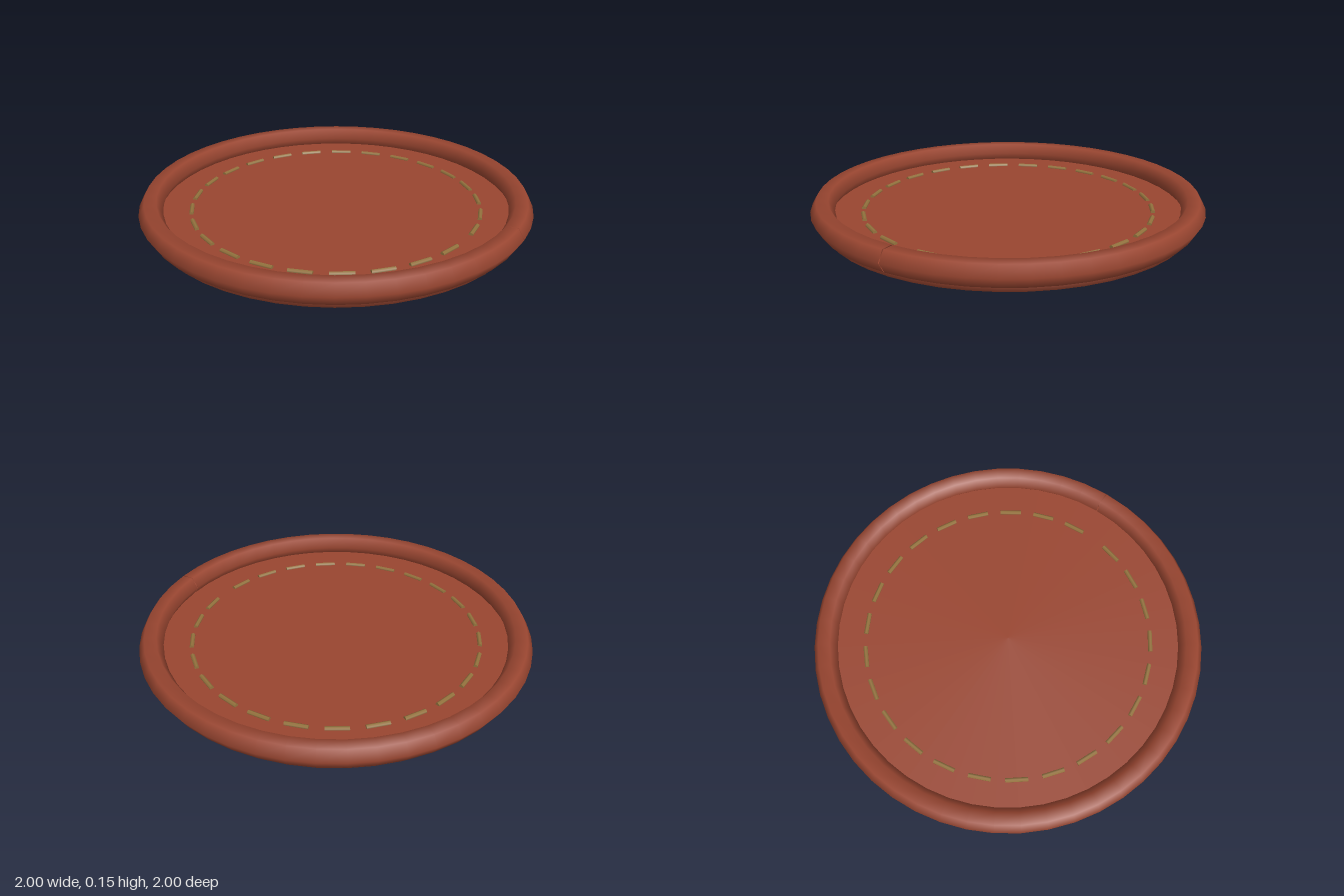
import * as THREE from 'three';

export function createModel() {
  const group = new THREE.Group();
  const leather = new THREE.MeshStandardMaterial({ color: 0x984530, side: THREE.DoubleSide });
  leather.name = 'redBrownLeather';
  const thread = new THREE.MeshStandardMaterial({ color: 0x94733e });
  thread.name = 'tanThread';

  const add = (name, geometry, material, parent = group) => {
    const mesh = new THREE.Mesh(geometry, material);
    mesh.name = name;
    parent.add(mesh);
    return mesh;
  };

  // Flat disc with a softened lower edge; its upper edge hides under the rim
  const profile = [
    [0, 0], [0.85, 0], [0.9, 0.002], [0.94, 0.016], [0.94, 0.056], [0.93, 0.06], [0.92, 0.06], [0, 0.06],
  ].map(([x, y]) => new THREE.Vector2(x, y));
  add('base', new THREE.LatheGeometry(profile, 48), leather);

  // Rolled six-sided rim with a hairline seam on the +x side
  const rim = new THREE.TorusGeometry(0.94, 0.06, 6, 48, Math.PI * 2 - 0.005);
  rim.rotateX(Math.PI / 2);
  add('rim', rim, leather).position.y = 0.1;

  // Ring of stitches, with a wider gap where the thread starts and ends
  const stitches = new THREE.Group();
  stitches.name = 'stitches';
  group.add(stitches);
  const stitch = new THREE.CylinderGeometry(0.012, 0.012, 0.113, 6);
  stitch.rotateX(Math.PI / 2);
  for (let i = 0; i < 25; i++) {
    const angle = THREE.MathUtils.degToRad(15 + i * 14.19);
    const mesh = add('stitch', stitch, thread, stitches);
    mesh.position.set(Math.cos(angle) * 0.742, 0.062, Math.sin(angle) * 0.742);
    mesh.rotation.y = -angle;
  }
  return group;
}
